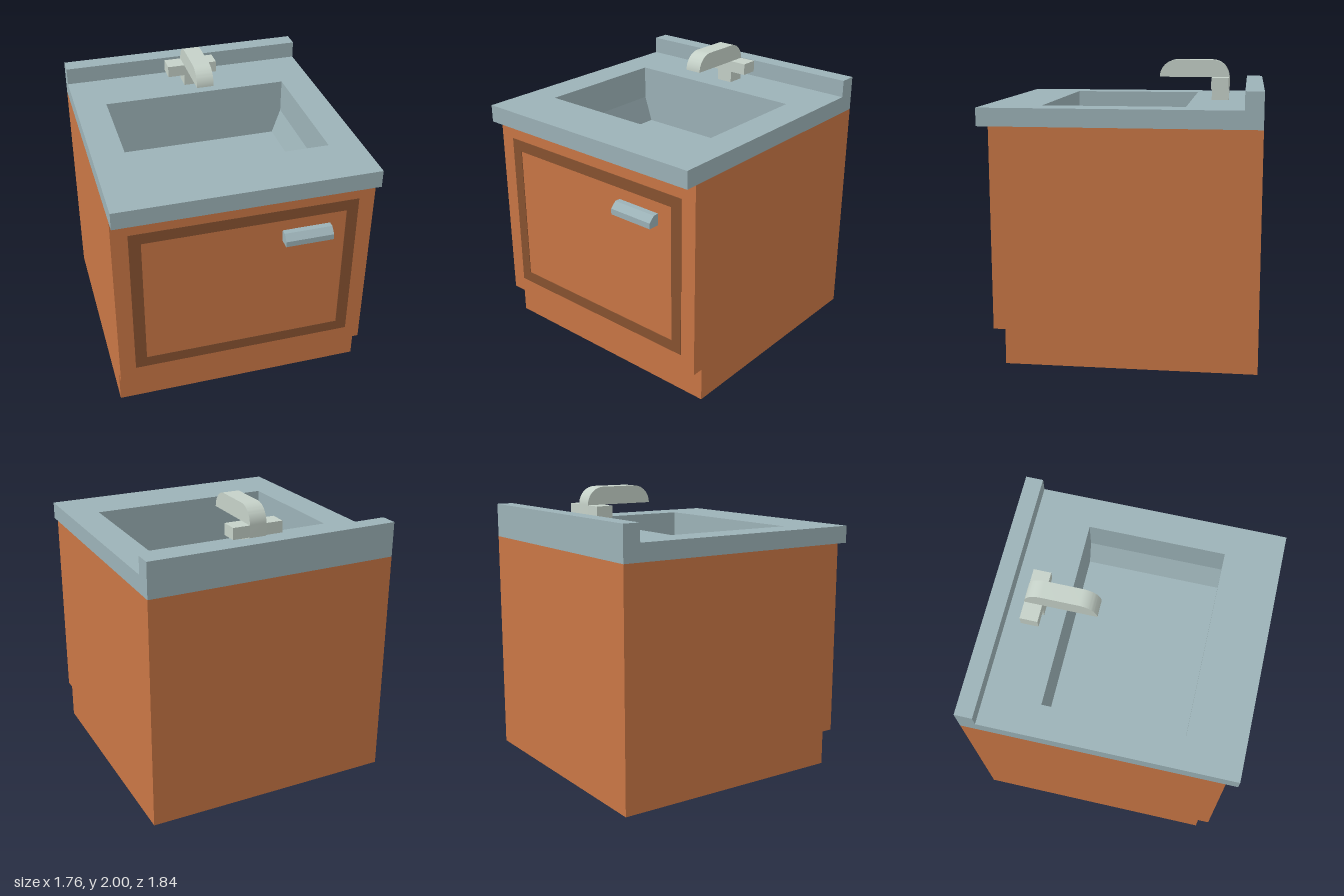
import * as THREE from 'three';
import { toCreasedNormals } from 'three/addons/utils/BufferGeometryUtils.js';

const wood = new THREE.MeshStandardMaterial({ color: 0xc97645 });
wood.name = 'wood';
const darkWood = new THREE.MeshStandardMaterial({ color: 0x885230 });
darkWood.name = 'dark wood';
const steel = new THREE.MeshStandardMaterial({ color: 0x9cb2b7, side: THREE.DoubleSide });
steel.name = 'steel';
const paleMetal = new THREE.MeshStandardMaterial({ color: 0xc5d1c8 });
paleMetal.name = 'pale metal';

const polygon = (points) => new THREE.Shape(points.map(([a, b]) => new THREE.Vector2(a, b)));

function rectangle(x0, y0, x1, y1) {
  return polygon([[x0, y0], [x1, y0], [x1, y1], [x0, y1]]);
}

function extrude(shape, depth) {
  return new THREE.ExtrudeGeometry(shape, { depth, bevelEnabled: false, curveSegments: 10 });
}

// Extrudes a (z, y) side profile across x, from x0 to x1
function sideExtrude(shape, x0, x1) {
  return extrude(shape, x1 - x0).rotateY(-Math.PI / 2).translate(x1, 0, 0);
}

// Drops the flat faces at one height, leaving the volume open there
function openAt(geometry, y) {
  const source = geometry.index ? geometry.toNonIndexed() : geometry;
  const p = source.attributes.position;
  const kept = [];
  for (let i = 0; i < p.count; i += 3) {
    const flat = [0, 1, 2].every((k) => Math.abs(p.getY(i + k) - y) < 1e-4);
    if (!flat) for (let k = 0; k < 3; k++) kept.push(p.getX(i + k), p.getY(i + k), p.getZ(i + k));
  }
  const open = new THREE.BufferGeometry();
  open.setAttribute('position', new THREE.Float32BufferAttribute(kept, 3));
  open.computeVertexNormals();
  return open;
}

function box(x0, x1, y0, y1, z0, z1) {
  return new THREE.BoxGeometry(x1 - x0, y1 - y0, z1 - z0)
    .translate((x0 + x1) / 2, (y0 + y1) / 2, (z0 + z1) / 2);
}

export function createModel() {
  const model = new THREE.Group();
  model.name = 'sinkCabinet';
  const add = (name, geometry, material, parent = model) => {
    const mesh = new THREE.Mesh(geometry, material);
    mesh.name = name;
    parent.add(mesh);
  };

  // Cabinet with a recessed toe kick, open on top for the basin
  const cabinetSide = polygon([
    [-0.92, 0], [0.76, 0], [0.76, 0.24], [0.84, 0.24], [0.84, 1.6], [-0.92, 1.6],
  ]);
  add('cabinet', openAt(sideExtrude(cabinetSide, -0.88, 0.88), 1.6), wood);

  // Painted frame on the door
  const frame = rectangle(-0.77, 0.35, 0.77, 1.48);
  frame.holes.push(rectangle(-0.69, 0.43, 0.69, 1.4));
  add('doorFrame', extrude(frame, 0.004).translate(0, 0, 0.84), darkWood);

  // Door handle with a chamfered upper edge
  const handleSide = polygon([
    [0.84, 1.24], [0.92, 1.24], [0.92, 1.28], [0.88, 1.32], [0.84, 1.32],
  ]);
  add('handle', sideExtrude(handleSide, 0.25, 0.58), steel);

  // Countertop with the sink opening
  const top = rectangle(-0.88, -0.92, 0.88, 0.92);
  top.holes.push(rectangle(-0.66, -0.53, 0.66, 0.42));
  add('countertop', extrude(top, 0.12).rotateX(-Math.PI / 2).translate(0, 1.6, 0), steel);
  add('backsplash', box(-0.88, 0.88, 1.72, 1.84, -0.92, -0.8), steel);

  // Basin: upright walls that slope in towards the floor at left and right
  const basinFront = polygon([
    [-0.66, 1.6], [-0.66, 1.48], [-0.6, 1.3], [0.6, 1.3], [0.66, 1.48], [0.66, 1.6],
  ]);
  add('basin', openAt(extrude(basinFront, 0.95).translate(0, 0, -0.42), 1.6), steel);

  // Faucet: rounded spout on a stem, with a crossbar for the taps
  const faucet = new THREE.Group();
  faucet.name = 'faucet';
  model.add(faucet);
  const spout = new THREE.Shape();
  spout.moveTo(-0.68, 1.72);
  spout.lineTo(-0.56, 1.72);
  spout.lineTo(-0.56, 1.88);
  spout.lineTo(-0.19, 1.88);
  spout.absarc(-0.31, 1.88, 0.12, 0, Math.PI / 2, false);
  spout.absarc(-0.56, 1.88, 0.12, Math.PI / 2, Math.PI, false);
  spout.closePath();
  add('spout', toCreasedNormals(sideExtrude(spout, -0.05, 0.07), 0.5), paleMetal, faucet);
  add('rightTap', box(-0.17, -0.05, 1.8, 1.88, -0.68, -0.56), paleMetal, faucet);
  add('leftTap', box(0.07, 0.19, 1.8, 1.88, -0.68, -0.56), paleMetal, faucet);

  return model;
}
